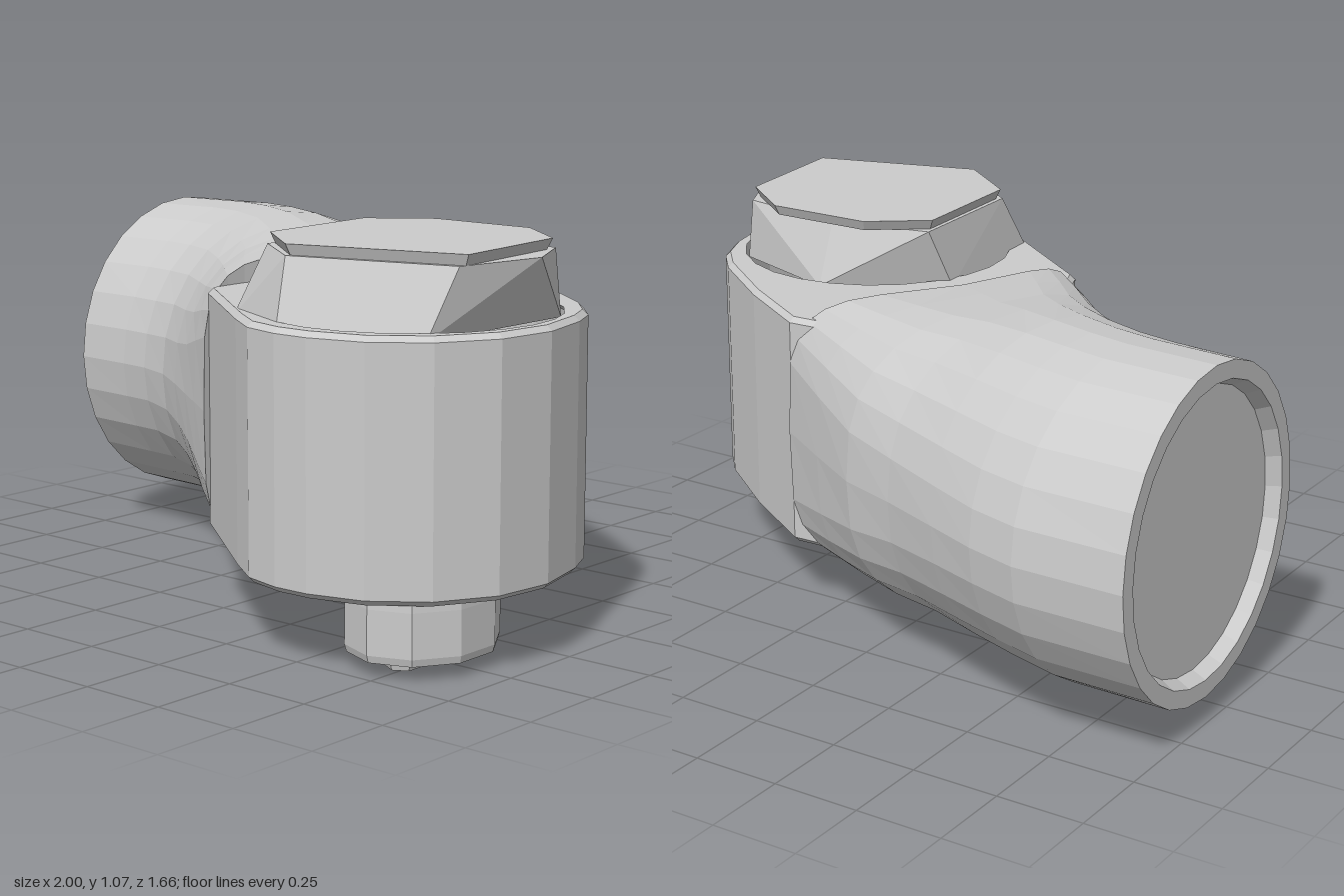
import * as THREE from 'three';
import { ConvexGeometry } from 'three/addons/geometries/ConvexGeometry.js';

const material = new THREE.MeshStandardMaterial({ color: 0xcccccc, flatShading: true, side: THREE.DoubleSide });

function add(parent, name, geometry, x = 0, y = 0, z = 0) {
  const mesh = new THREE.Mesh(geometry, material);
  mesh.name = name;
  mesh.position.set(x, y, z);
  parent.add(mesh);
  return mesh;
}

// Ring of points on an upright cross-section from back point to front point.
// sag bows the section toward the open end, n sets how boxy it is.
function section({ b, f, y, n = 2, sag = 0 }, sides) {
  const dx = f[0] - b[0], dz = f[1] - b[1], len = Math.hypot(dx, dz);
  const mid = (y[0] + y[1]) / 2, half = (y[1] - y[0]) / 2;
  const power = (v) => Math.sign(v) * Math.abs(v) ** (2 / n);
  return Array.from({ length: sides }, (_, i) => {
    const a = (i / sides) * Math.PI * 2;
    const t = (1 + power(Math.cos(a))) / 2;
    const bow = sag * 4 * t * (1 - t);
    return [b[0] + dx * t - (dz / len) * bow, mid + half * power(Math.sin(a)), b[1] + dz * t + (dx / len) * bow];
  });
}

function loft(stations, sides) {
  const positions = [], index = [];
  stations.forEach((s) => section(s, sides).forEach((p) => positions.push(...p)));
  for (let r = 0; r < stations.length - 1; r++) {
    for (let i = 0; i < sides; i++) {
      const a = r * sides + i, b = r * sides + ((i + 1) % sides);
      index.push(a, a + sides, b, b, a + sides, b + sides);
    }
  }
  const g = new THREE.BufferGeometry();
  g.setAttribute('position', new THREE.Float32BufferAttribute(positions, 3));
  g.setIndex(index);
  g.computeVertexNormals();
  return g;
}

// Convex block between two outlines given as [x, z] lists
function block(low, yLow, high, yHigh) {
  return new ConvexGeometry([
    ...low.map(([x, z]) => new THREE.Vector3(x, yLow, z)),
    ...high.map(([x, z]) => new THREE.Vector3(x, yHigh, z)),
  ]);
}

export function createModel() {
  const group = new THREE.Group();

  // Curved arm: recessed end cap, rim, tube, then the curved step at the head
  add(group, 'arm', loft([
    { b: [-0.96, -0.76], f: [-0.96, 0.01], y: [0.54, 0.54] },
    { b: [-0.96, -0.76], f: [-0.96, 0.01], y: [0.15, 0.93] },
    { b: [-1, -0.78], f: [-1, 0.03], y: [0.13, 0.95] },
    { b: [-1, -0.83], f: [-1, 0.08], y: [0.08, 1.0] },
    { b: [-0.68, -0.83], f: [-0.8, 0.1], y: [0.08, 1.005] },
    { b: [-0.53, -0.79], f: [-0.69, 0.12], y: [0.085, 1.005] },
    { b: [-0.37, -0.725], f: [-0.57, 0.16], y: [0.09, 1.0], n: 2.1 },
    { b: [-0.18, -0.645], f: [-0.44, 0.24], y: [0.1, 0.985], n: 2.3, sag: 0.02 },
    { b: [0, -0.58], f: [-0.32, 0.32], y: [0.11, 0.97], n: 2.7, sag: 0.06 },
    { b: [0.18, -0.47], f: [-0.21, 0.395], y: [0.12, 0.96], n: 3.4, sag: 0.11 },
    { b: [0.36, -0.355], f: [-0.09, 0.478], y: [0.13, 0.95], n: 4.4, sag: 0.16 },
    { b: [0.36, -0.355], f: [-0.09, 0.478], y: [0.54, 0.54], n: 4.4, sag: 0.16 },
  ], 28));

  // Head with a round bore through it; its inner end is hidden in the arm
  const cx = 0.555, cz = 0.37, bevel = 0.015;
  const outline = [[-0.09, 0.435], [-0.14, 0.3], [-0.15, 0.1], [0.02, -0.2], [0.22, -0.33], [0.35, -0.335],
    [0.59, -0.185], [0.82, -0.01], [0.9, 0.08], [0.945, 0.18], [0.985, 0.35], [0.965, 0.52], [0.88, 0.67],
    [0.75, 0.77], [0.6, 0.812], [0.5, 0.815], [0.39, 0.79], [0.28, 0.715]];
  const shape = new THREE.Shape(outline.map(([x, z]) => new THREE.Vector2(x, -z)));
  shape.holes.push(new THREE.Path().absarc(cx, -cz, 0.405, 0, Math.PI * 2, true));
  const head = new THREE.ExtrudeGeometry(shape, {
    depth: 0.65, bevelThickness: bevel, bevelSize: bevel, bevelSegments: 1, curveSegments: 12,
  });
  head.rotateX(-Math.PI / 2);
  add(group, 'head', head, 0, 0.2 + bevel, 0);

  // Floor inside the bore
  add(group, 'boreFloor', new THREE.CylinderGeometry(0.385, 0.385, 0.03, 9), cx, 0.26, cz);

  // Upper joint: irregular neck and a thin plate on top
  add(group, 'upperNeck', block(
    [[0.17, 0.2], [0.2, 0.66], [0.45, 0.77], [0.85, 0.66], [0.86, 0.12], [0.5, -0.01]], 0.86,
    [[0.2, 0.12], [0.22, 0.55], [0.42, 0.7], [0.88, 0.57], [0.93, 0.3], [0.84, 0.12], [0.5, 0.06]], 1.04));
  const plate = [[0.2, 0.14], [0.36, 0.02], [0.68, 0.02], [0.86, 0.16], [0.9, 0.56], [0.42, 0.7], [0.22, 0.54]];
  add(group, 'upperPlate', block(plate.map(([x, z]) => [0.55 + (x - 0.55) * 0.96, 0.37 + (z - 0.37) * 0.96]), 1.04, plate, 1.07));

  // Lower joint: off-centre stub with a small pin
  const stub = [[0.185, 0], [0.19, 0.02], [0.19, 0.14], [0.185, 0.22]].map(([r, y]) => new THREE.Vector2(r, y));
  stub.unshift(new THREE.Vector2(0, 0));
  add(group, 'lowerStub', new THREE.LatheGeometry(stub, 10), 0.73, 0.04, 0.52).scale.z = 1.17;
  add(group, 'lowerPin', new THREE.CylinderGeometry(0.06, 0.045, 0.06, 6), 0.73, 0.03, 0.6);

  return group;
}
